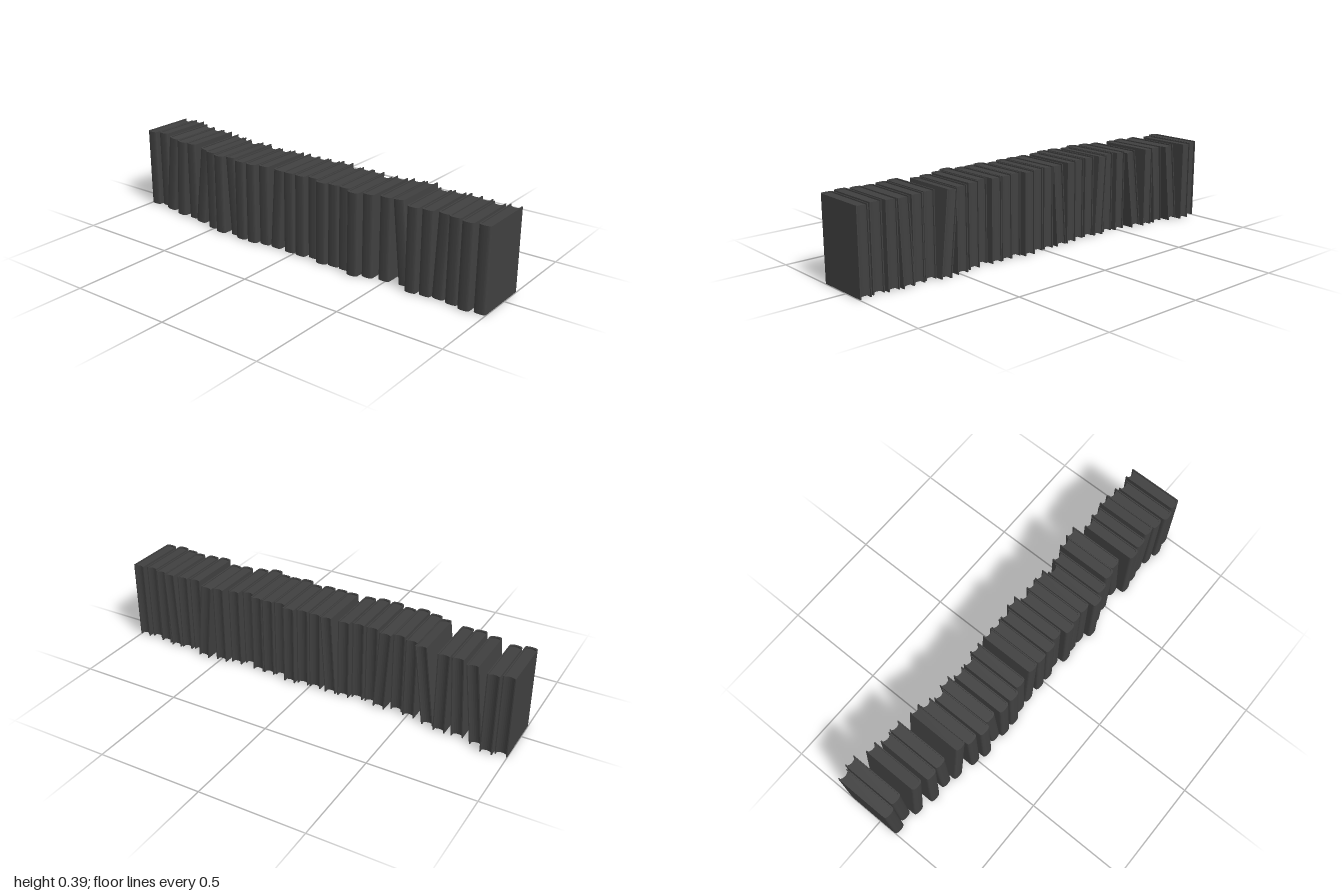
import * as THREE from 'three';

const H = 0.391, W = 0.028, D = 0.1375; // height, half thickness, half depth
const CY = 0.201;

// each book: bottom x, top x, z of the spine front
const BOOKS = [
  [-0.972, -0.972, 0.1], [-0.91, -0.91, 0.083], [-0.851, -0.808, 0.112], [-0.757, -0.735, 0.131],
  [-0.673, -0.673, 0.127], [-0.61, -0.56, 0.145], [-0.508, -0.508, 0.165], [-0.441, -0.441, 0.182],
  [-0.36, -0.382, 0.163], [-0.309, -0.309, 0.182], [-0.241, -0.241, 0.182], [-0.176, -0.176, 0.165],
  [-0.11, -0.085, 0.163], [-0.027, -0.027, 0.165], [0.038, 0.038, 0.165], [0.102, 0.102, 0.149],
  [0.165, 0.165, 0.176], [0.225, 0.225, 0.165], [0.285, 0.285, 0.165], [0.348, 0.348, 0.192],
  [0.412, 0.412, 0.167], [0.49, 0.49, 0.15], [0.587, 0.548, 0.138], [0.642, 0.642, 0.177],
  [0.708, 0.708, 0.167], [0.767, 0.782, 0.158], [0.836, 0.836, 0.167], [0.902, 0.902, 0.18],
  [0.972, 0.972, 0.168],
];

// stands a plan outline (x, -z) upright, centred on its height
function upright(shape, height) {
  const g = new THREE.ExtrudeGeometry(shape, { depth: height, bevelEnabled: false, curveSegments: 6 });
  g.translate(0, 0, -height / 2);
  g.rotateX(-Math.PI / 2);
  return g;
}

// two boards joined by a rounded spine
function coverGeometry() {
  const t = 0.005, f = -D;
  const s = new THREE.Shape();
  s.moveTo(-W, D);
  s.lineTo(-W, f + 0.014);
  s.bezierCurveTo(-W, f + 0.003, -W * 0.6, f, 0, f);
  s.bezierCurveTo(W * 0.6, f, W, f + 0.003, W, f + 0.014);
  s.lineTo(W, D);
  s.lineTo(W - t, D);
  s.lineTo(W - t, f + 0.016);
  s.quadraticCurveTo(0, f - 0.004 + t, -W + t, f + 0.016);
  s.lineTo(-W + t, D);
  s.closePath();
  return upright(s, H);
}

// page block with a hollow fore edge
function pagesGeometry() {
  const w = W - 0.0045, b = D - 0.007, f = -D + 0.014;
  const s = new THREE.Shape();
  s.moveTo(-w, b);
  s.lineTo(-w, f + 0.004);
  s.quadraticCurveTo(0, f - 0.014, w, f + 0.004);
  s.lineTo(w, b);
  s.quadraticCurveTo(0, b - 0.016, -w, b);
  return upright(s, H - 0.012);
}

export function createModel() {
  const root = new THREE.Group();
  root.name = 'bookRow';
  const material = new THREE.MeshStandardMaterial({ color: 0x404040 });
  const cover = coverGeometry(), pages = pagesGeometry();

  BOOKS.forEach(([x0, x1, front], i) => {
    const book = new THREE.Group();
    book.name = `book${i + 1}`;
    const coverMesh = new THREE.Mesh(cover, material);
    coverMesh.name = 'cover';
    const pagesMesh = new THREE.Mesh(pages, material);
    pagesMesh.name = 'pages';
    book.add(coverMesh, pagesMesh);
    book.position.set((x0 + x1) / 2, CY, front - D);
    book.rotation.z = -Math.asin((x1 - x0) / H);
    root.add(book);
  });
  return root;
}
